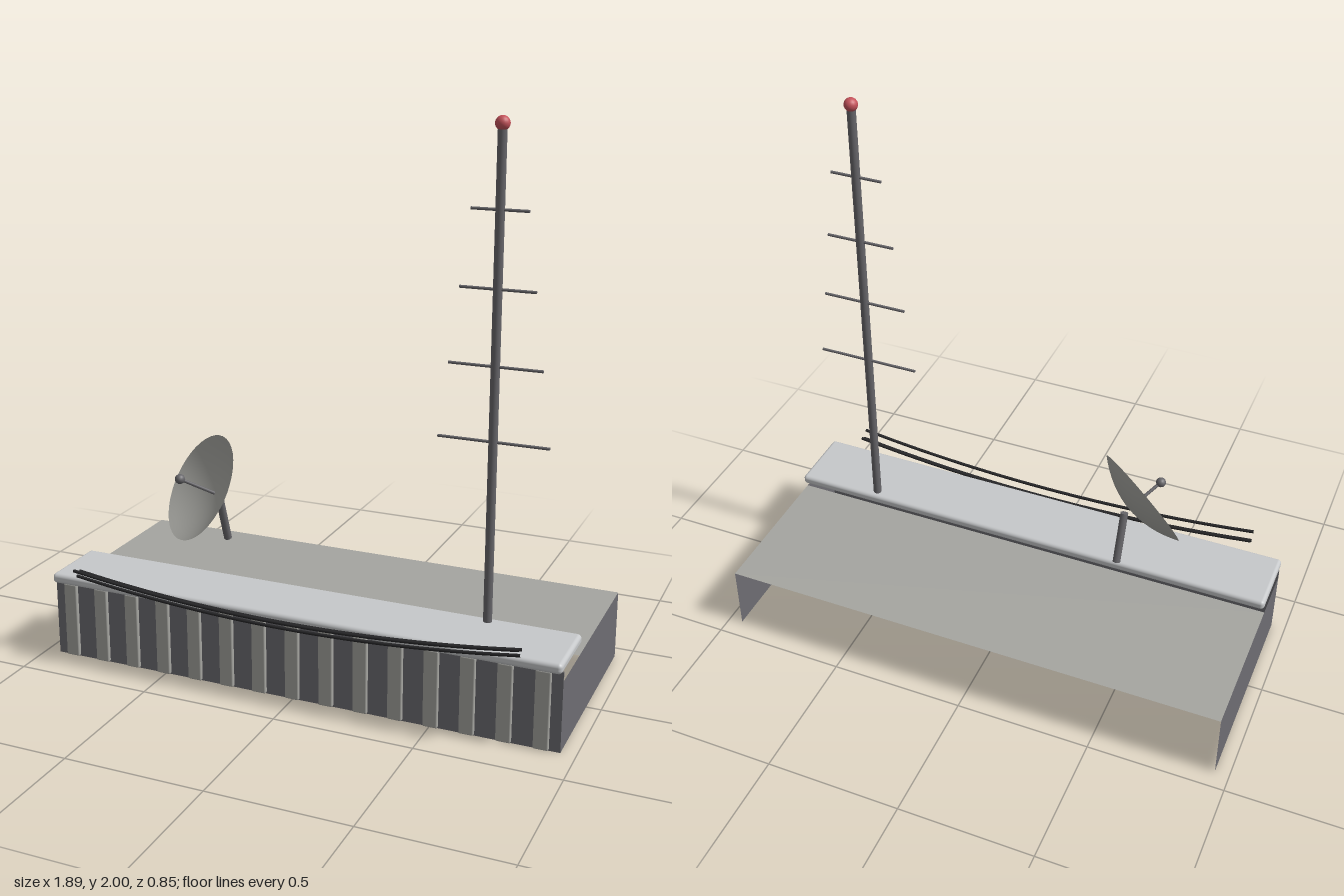
import * as THREE from 'three';
import { RoundedBoxGeometry } from 'three/addons/geometries/RoundedBoxGeometry.js';

const mat = (name, color, side = THREE.FrontSide) => {
  const m = new THREE.MeshStandardMaterial({ color, side });
  m.name = name;
  return m;
};

export function createModel() {
  const concrete = mat('warm grey', 0xa5a5a0, THREE.DoubleSide);
  const wallGrey = mat('dark grey', 0x6e6d72, THREE.DoubleSide);
  const ledgeGrey = mat('pale grey', 0xc6c8ca);
  const steel = mat('steel', 0x67666a);
  const cableBlack = mat('cable black', 0x262628);
  const beaconRed = mat('beacon red', 0xc4525a);

  const model = new THREE.Group();
  model.name = 'rooftop';

  const add = (name, geometry, material, x = 0, y = 0, z = 0, parent = model) => {
    const mesh = new THREE.Mesh(geometry, material);
    mesh.name = name;
    mesh.position.set(x, y, z);
    parent.add(mesh);
    return mesh;
  };

  // Round rod between two points
  const rod = (name, from, to, radius, material, parent = model) => {
    const a = new THREE.Vector3(...from), b = new THREE.Vector3(...to);
    const dir = b.clone().sub(a);
    const mesh = add(name, new THREE.CylinderGeometry(radius, radius, dir.length(), 12), material, 0, 0, 0, parent);
    mesh.position.copy(a).add(b).multiplyScalar(0.5);
    mesh.quaternion.setFromUnitVectors(new THREE.Vector3(0, 1, 0), dir.normalize());
    return mesh;
  };

  // Roof sheet and side walls, open at the back and underneath
  const roof = add('roof', new THREE.PlaneGeometry(1.895, 0.565), concrete, 0, 0.253, -0.1475);
  roof.rotation.x = -Math.PI / 2;
  for (const s of [-1, 1]) {
    const wall = add('sideWall', new THREE.PlaneGeometry(0.77, 0.253), wallGrey, s * 0.9475, 0.1265, -0.045);
    wall.rotation.y = s * Math.PI / 2;
  }

  // Ribbed front wall
  add('frontWall', new THREE.BoxGeometry(1.895, 0.285, 0.006), wallGrey, 0, 0.1425, 0.338);
  for (let i = 0; i < 15; i++) {
    add('frontRib', new RoundedBoxGeometry(0.052, 0.28, 0.018, 2, 0.005), concrete, (i - 7) * 0.1262, 0.143, 0.345);
  }

  // Ledge along the front edge
  add('ledge', new RoundedBoxGeometry(1.895, 0.037, 0.26, 4, 0.014), ledgeGrey, 0, 0.302, 0.238);

  // Sagging cables: [z, height of the lowest point]
  for (const [z, low] of [[0.38, 0.299], [0.398, 0.287], [0.418, 0.314]]) {
    const points = [];
    for (let i = 0; i <= 12; i++) {
      const t = i / 6 - 1;
      points.push(new THREE.Vector3(t * 0.82, low + 0.057 * t * t, z));
    }
    add('cable', new THREE.TubeGeometry(new THREE.CatmullRomCurve3(points), 40, 0.006, 8), cableBlack);
  }

  // Antenna mast with shrinking crossbars and a beacon
  const mast = new THREE.Group();
  mast.name = 'antennaMast';
  mast.position.set(0.63, 0, 0.14);
  model.add(mast);
  rod('mastPole', [0, 0.31, 0], [0, 1.97, 0], 0.0155, steel, mast);
  for (let i = 0; i < 4; i++) {
    const half = 0.19 - i * 0.0315, y = 0.952 + i * 0.2525;
    rod('crossbar', [-half, y, 0], [half, y, 0], 0.005, steel, mast);
  }
  add('beacon', new THREE.SphereGeometry(0.024, 20, 14), beaconRed, 0, 1.976, 0, mast);

  // Dish aimed forward, upward and to the side; its bowl opens along local +y
  const dish = new THREE.Group();
  dish.name = 'dish';
  dish.position.set(-0.423, 0.613, 0.09);
  dish.quaternion.setFromUnitVectors(new THREE.Vector3(0, 1, 0), new THREE.Vector3(-0.55, 0.49, 0.67).normalize());
  model.add(dish);
  const profile = [];
  for (let i = 0; i <= 8; i++) profile.push(new THREE.Vector2(0.2 * i / 8, 0.062 * (i / 8) ** 2));
  add('dishBowl', new THREE.LatheGeometry(profile, 40), concrete, 0, 0, 0, dish);
  rod('feedArm', [0, 0, 0], [0, 0.15, 0], 0.006, steel, dish);
  add('feedHorn', new THREE.SphereGeometry(0.018, 16, 12), steel, 0, 0.15, 0, dish);

  // Dish support post
  rod('dishPost', [-0.41, 0.417, 0.015], [-0.41, 0.6, 0.078], 0.0145, steel);

  return model;
}
